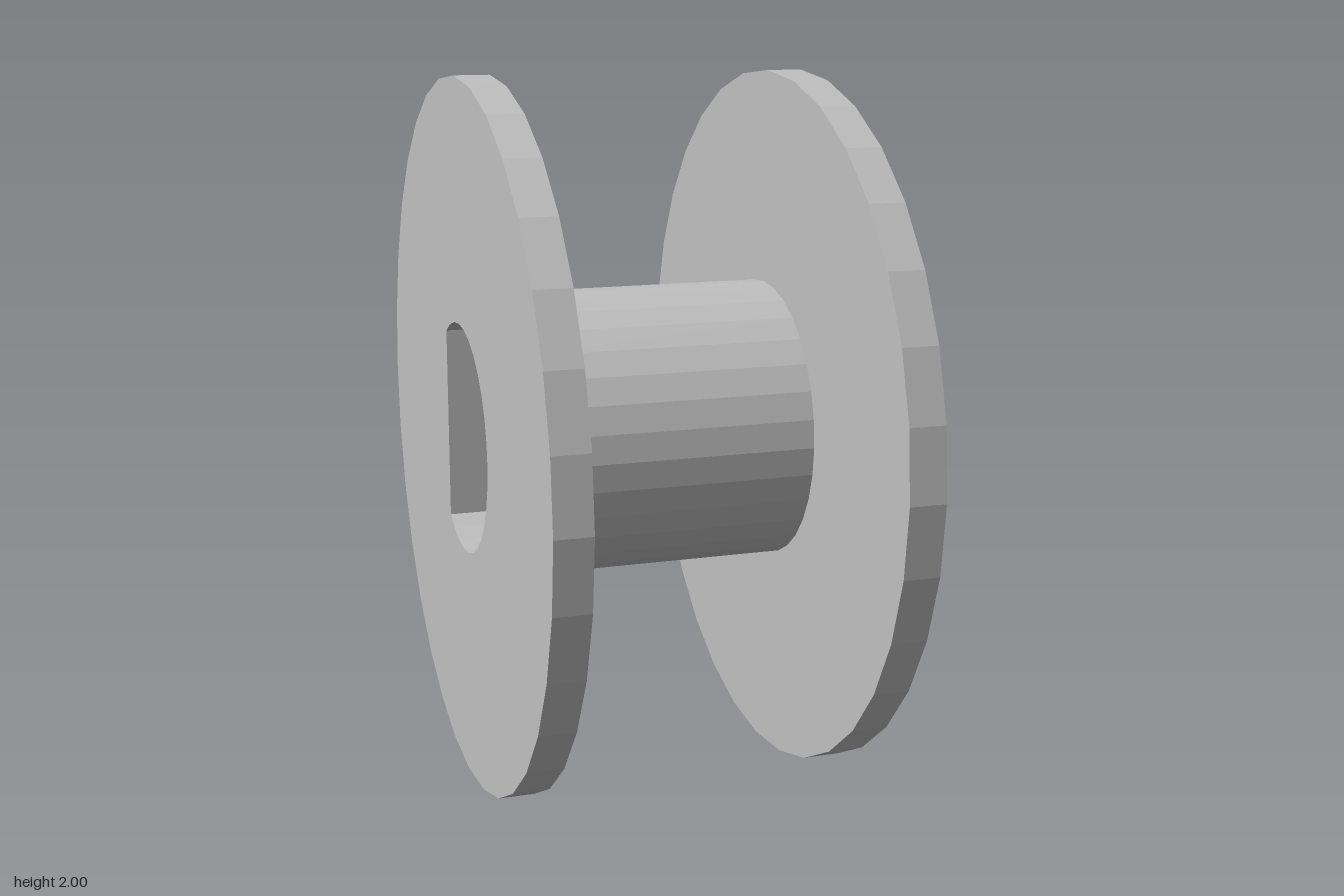
import * as THREE from 'three';

const SIDES = 32;
const BORE_RADIUS = 0.325;
const BORE_FLAT = 0.175;

const polar = (radius, angle) =>
  new THREE.Vector2(radius * Math.cos(angle), radius * Math.sin(angle));

// D-shaped bore: faceted circle cut by a flat
function boreOutline() {
  const start = Math.acos(BORE_FLAT / BORE_RADIUS);
  const points = [polar(BORE_RADIUS, start)];
  for (let i = 0; i < SIDES; i++) {
    const angle = (i / SIDES) * Math.PI * 2;
    if (angle > start && angle < Math.PI * 2 - start) points.push(polar(BORE_RADIUS, angle));
  }
  points.push(polar(BORE_RADIUS, -start));
  return points;
}

// Round disc with the bore through it, centred on the x axis
function boredDisc(radius, width) {
  const outline = [];
  for (let i = 0; i < SIDES; i++) outline.push(polar(radius, (i / SIDES) * Math.PI * 2));
  const shape = new THREE.Shape(outline);
  shape.holes.push(new THREE.Path(boreOutline()));
  const geometry = new THREE.ExtrudeGeometry(shape, { depth: width, bevelEnabled: false });
  geometry.translate(0, 0, -width / 2);
  geometry.rotateY(Math.PI / 2); // bore flat ends up towards -z
  return geometry;
}

export function createModel() {
  const model = new THREE.Group();
  model.name = 'spool';
  const grey = new THREE.MeshStandardMaterial({ color: 0xc0c0c0, flatShading: true });
  grey.name = 'light grey';

  function add(name, geometry, x) {
    const mesh = new THREE.Mesh(geometry, grey);
    mesh.name = name;
    mesh.position.set(x, 1, 0);
    model.add(mesh);
  }

  // Central hub between two thin flanges
  add('hub', boredDisc(0.4, 0.8), 0);
  const flange = boredDisc(1, 0.1);
  add('leftFlange', flange, 0.45);
  add('rightFlange', flange, -0.45);

  return model;
}
